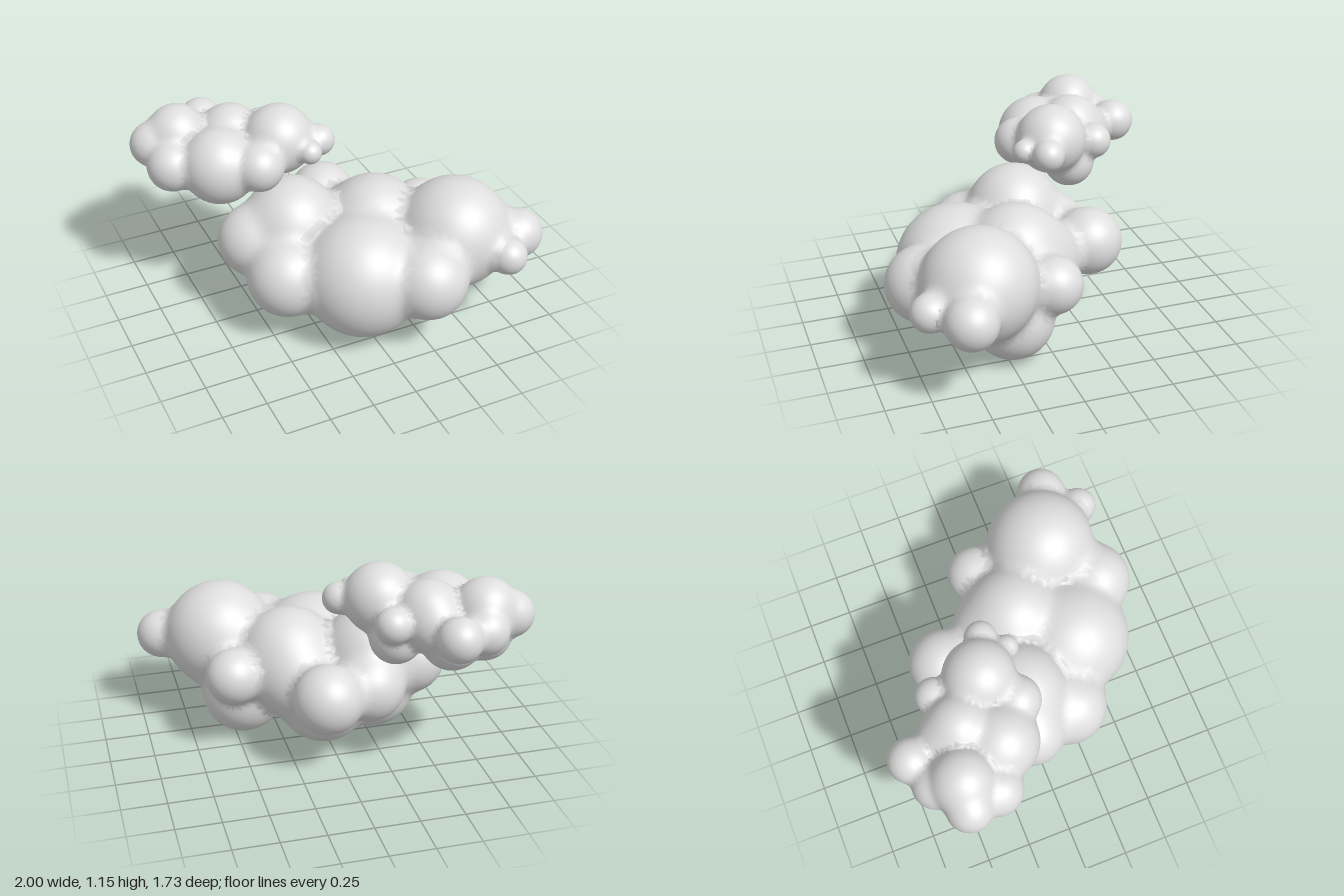
import * as THREE from 'three';

// Puffs of one cloud: x, y, z, radius
const PUFFS = [
  [0.53, 0.525, 0.42, 0.314],   // large end puff
  [-0.02, 0.373, 0.392, 0.34],  // large front puff
  [0.25, 0.425, 0.647, 0.215],  // front bump
  [0.857, 0.502, 0.558, 0.14],  // tip
  [0.695, 0.505, 0.735, 0.1],   // small tip
  [-0.397, 0.37, 0.22, 0.225],  // right front bump
  [-0.26, 0.533, -0.03, 0.27],  // upper puff
  [-0.485, 0.47, -0.05, 0.2],   // right end bump
  [0.08, 0.435, -0.365, 0.193], // back bump
  [0.53, 0.45, 0.003, 0.157],   // back left bump
  [0.44, 0.24, 0.21, 0.232],    // underside bump
  [0.19, 0.497, 0.11, 0.275],   // middle top
  [0.165, 0.42, -0.01, 0.248],  // middle back
  [0.02, 0.27, -0.02, 0.26],    // middle underside
  [-0.28, 0.285, 0.0, 0.23],    // right underside
  [-0.19, 0.42, -0.24, 0.198],  // back right bump
];
const BLEND = 0.025;

// Signed distance to the softly merged puffs; writes the outward direction to grad
function field(p, grad) {
  let sum = 0;
  grad.set(0, 0, 0);
  for (const [x, y, z, r] of PUFFS) {
    const dx = p.x - x, dy = p.y - y, dz = p.z - z;
    const len = Math.hypot(dx, dy, dz) || 1e-6;
    const w = Math.exp((r - len) / BLEND);
    sum += w;
    grad.x += (w * dx) / len;
    grad.y += (w * dy) / len;
    grad.z += (w * dz) / len;
  }
  grad.normalize();
  return -BLEND * Math.log(sum);
}

// A ball whose skin is pushed out to the merged surface; buried faces are dropped
function puffGeometry([cx, cy, cz, r]) {
  const ball = new THREE.IcosahedronGeometry(1, 14).getAttribute('position');
  const positions = [], normals = [];
  const centre = new THREE.Vector3(cx, cy, cz);
  const dir = new THREE.Vector3(), p = new THREE.Vector3(), n = new THREE.Vector3();
  for (let i = 0; i < ball.count; i += 3) {
    const pos = [], nor = [];
    let buried = 0;
    for (let j = 0; j < 3; j++) {
      dir.fromBufferAttribute(ball, i + j).normalize();
      let t = r;
      for (let step = 0; step < 14; step++) {
        p.copy(centre).addScaledVector(dir, t);
        t = Math.min(t - field(p, n), r + 0.1);
      }
      p.copy(centre).addScaledVector(dir, t);
      if (field(p, n) < -0.008) buried++;
      pos.push(p.x, p.y, p.z);
      nor.push(n.x, n.y, n.z);
    }
    if (buried < 3) {
      positions.push(...pos);
      normals.push(...nor);
    }
  }
  const g = new THREE.BufferGeometry();
  g.setAttribute('position', new THREE.Float32BufferAttribute(positions, 3));
  g.setAttribute('normal', new THREE.Float32BufferAttribute(normals, 3));
  return g;
}

export function createModel() {
  const model = new THREE.Group();
  model.name = 'clouds';
  const cloudGrey = new THREE.MeshStandardMaterial({ color: 0xdedede });
  cloudGrey.name = 'cloudGrey';
  const puffs = PUFFS.map(puffGeometry);

  function addCloud(name, scale, x, y, z) {
    const cloud = new THREE.Group();
    cloud.name = name;
    puffs.forEach((g, i) => {
      const puff = new THREE.Mesh(g, cloudGrey);
      puff.name = `puff${i + 1}`;
      cloud.add(puff);
    });
    cloud.scale.setScalar(scale);
    cloud.position.set(x, y, z);
    model.add(cloud);
  }

  addCloud('largeCloud', 1, 0, 0, 0);
  // Smaller copy floating above and behind
  addCloud('smallCloud', 0.63, -0.569, 0.626, -0.513);
  return model;
}
